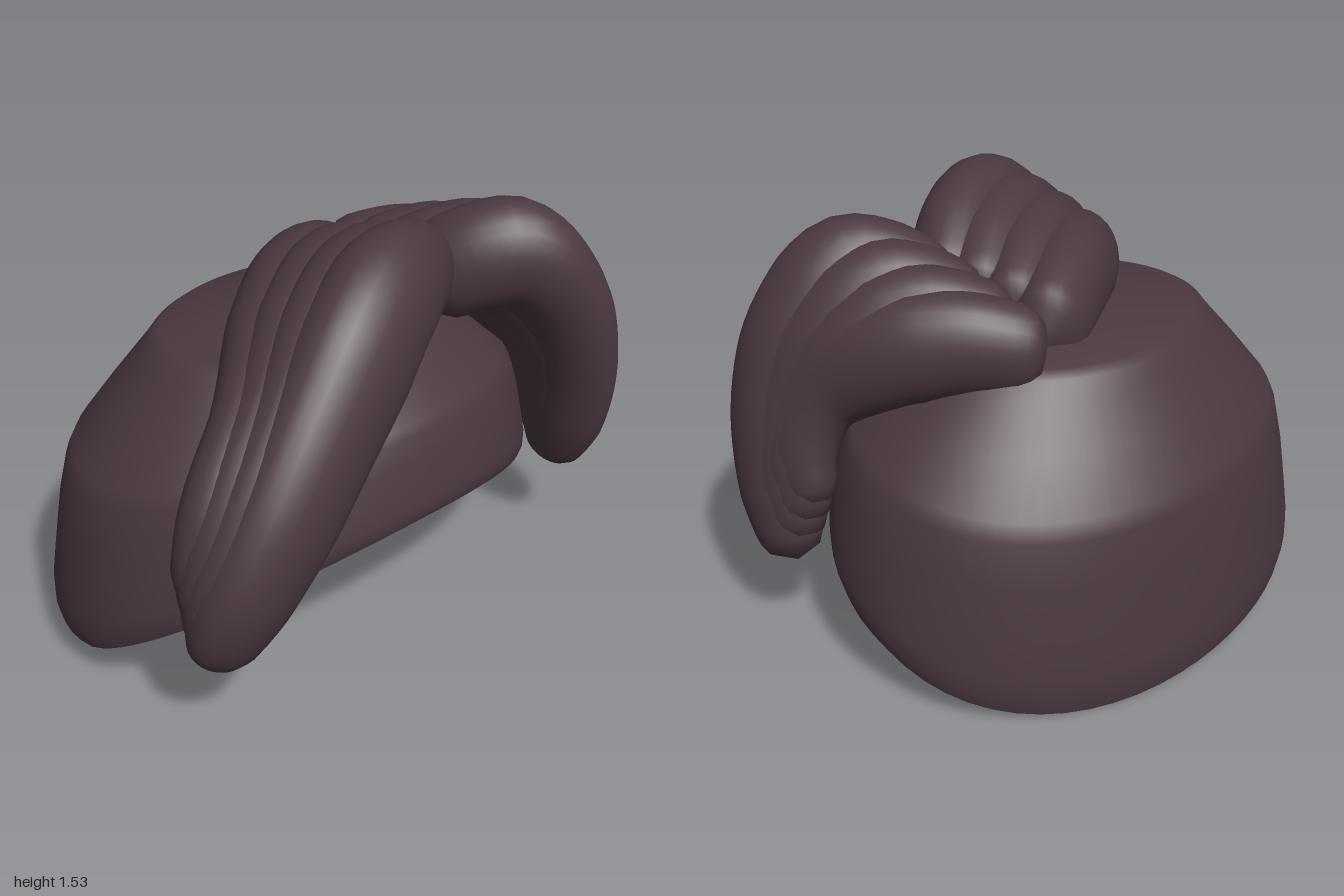
import * as THREE from 'three';

const hairMaterial = new THREE.MeshStandardMaterial({ color: 0x4a383f, side: THREE.DoubleSide });
hairMaterial.name = 'dark plum hair';

const SIDES = 28;

// Smooth skin over a list of closed rings
function skin(rings, name) {
  const n = rings[0].length, index = [];
  for (let i = 0; i < rings.length - 1; i++) {
    for (let j = 0; j < n; j++) {
      const a = i * n + j, b = i * n + (j + 1) % n;
      index.push(a, b, a + n, b, b + n, a + n);
    }
  }
  const geometry = new THREE.BufferGeometry().setFromPoints(rings.flat());
  geometry.setIndex(index);
  geometry.computeVertexNormals();
  const mesh = new THREE.Mesh(geometry, hairMaterial);
  mesh.name = name;
  return mesh;
}

// Height of the cap's rim: low at the nape, a high arch at the brow, slightly lopsided
function rimHeight(x, z) {
  const tilt = 0.02 + 0.14 * Math.min(z, 0) - 0.1 * Math.max(z, 0);
  return 0.13 + 0.4 * z + 0.36 * z * z + x * tilt + x * x * (x > 0 ? 0.06 : 0.03);
}

// Open skull cap: steep wall, sloping shoulder, flat crown
function makeCap() {
  const profile = [[0.985, 0], [1, 0.06], [1, 0.14], [0.98, 0.28], [0.95, 0.47], [0.915, 0.62], [0.885, 0.68],
    [0.76, 0.83], [0.61, 1.0], [0.57, 1.05], [0.53, 1.075], [0.35, 1.11], [0.18, 1.13], [0.001, 1.14]];
  const rings = profile.map(([s, h]) => {
    const ring = [];
    for (let j = 0; j < 64; j++) {
      const a = j / 64 * Math.PI * 2;
      const x = 0.99 * Math.sin(a), z = -0.03 + 0.74 * Math.cos(a);
      const rim = rimHeight(x, z);
      ring.push(new THREE.Vector3(x * s, rim + h * (1.14 - rim) / 1.14, -0.03 + (z + 0.03) * s));
    }
    return ring;
  });
  return skin(rings, 'hairCap');
}

// Flattened sausage-like lock with blunt rounded ends
function makeLock(points, radii, squash, name) {
  const steps = 36, cap = 0.13;
  const curve = new THREE.CatmullRomCurve3(points);
  const frames = curve.computeFrenetFrames(steps, false);
  const length = curve.getLength();
  const rings = [];
  for (let i = 0; i <= steps; i++) {
    const u = i / steps, center = curve.getPointAt(u);
    const k = u * (radii.length - 1), k0 = Math.min(Math.floor(k), radii.length - 2);
    const end = Math.min(1, Math.min(u, 1 - u) * length / cap);
    const r = THREE.MathUtils.lerp(radii[k0], radii[k0 + 1], k - k0)
      * Math.max(0.01, Math.sqrt(1 - (1 - end) ** 3));
    const ring = [];
    for (let j = 0; j < SIDES; j++) {
      const a = j / SIDES * Math.PI * 2;
      const offset = frames.normals[i].clone().multiplyScalar(r * Math.cos(a))
        .addScaledVector(frames.binormals[i], r * Math.sin(a));
      ring.push(offset.multiply(squash).add(center));
    }
    rings.push(ring);
  }
  return skin(rings, name);
}

// Fan of overlapping locks, blended from the front path to the back path
function makeFringe(front, back, radii, squash, name) {
  const group = new THREE.Group();
  group.name = name;
  const count = 4;
  for (let i = 0; i < count; i++) {
    const t = i / (count - 1);
    const points = front.map((p, k) => new THREE.Vector3(...p).lerp(new THREE.Vector3(...back[k]), t));
    group.add(makeLock(points, radii.map(r => r * (1 - 0.1 * t)), squash, name + 'Lock' + (i + 1)));
  }
  return group;
}

export function createModel() {
  const model = new THREE.Group();
  model.name = 'hair';
  model.add(makeCap());

  // Long sweep over the brow to the model's right
  model.add(makeFringe(
    [[-0.86, 0.32, 0.47], [-0.81, 0.53, 0.55], [-0.67, 0.76, 0.58], [-0.43, 1.04, 0.55],
      [-0.13, 1.285, 0.47], [0.1, 1.285, 0.37], [0.24, 1.21, 0.28], [0.355, 1.13, 0.22]],
    [[-0.85, 0.52, 0.41], [-0.83, 0.63, 0.43], [-0.73, 0.82, 0.42], [-0.54, 0.98, 0.36],
      [-0.25, 1.13, 0.16], [0, 1.18, -0.01], [0.16, 1.16, -0.1], [0.34, 1.1, -0.18]],
    [0.13, 0.18, 0.205, 0.22, 0.24, 0.235, 0.2, 0.17], new THREE.Vector3(1, 1, 0.74), 'rightFringe'));

  // Short drop on the model's left
  model.add(makeFringe(
    [[0.35, 1.15, 0.23], [0.45, 1.25, 0.37], [0.58, 1.27, 0.48], [0.74, 1.09, 0.56],
      [0.83, 0.85, 0.59], [0.88, 0.58, 0.56], [0.91, 0.32, 0.46]],
    [[0.36, 1.08, -0.2], [0.46, 1.12, -0.11], [0.57, 1.14, 0.02], [0.69, 1.09, 0.21],
      [0.78, 0.95, 0.41], [0.85, 0.74, 0.46], [0.88, 0.53, 0.39]],
    [0.17, 0.185, 0.2, 0.195, 0.18, 0.165, 0.125], new THREE.Vector3(0.72, 1.05, 0.95), 'leftFringe'));

  return model;
}
